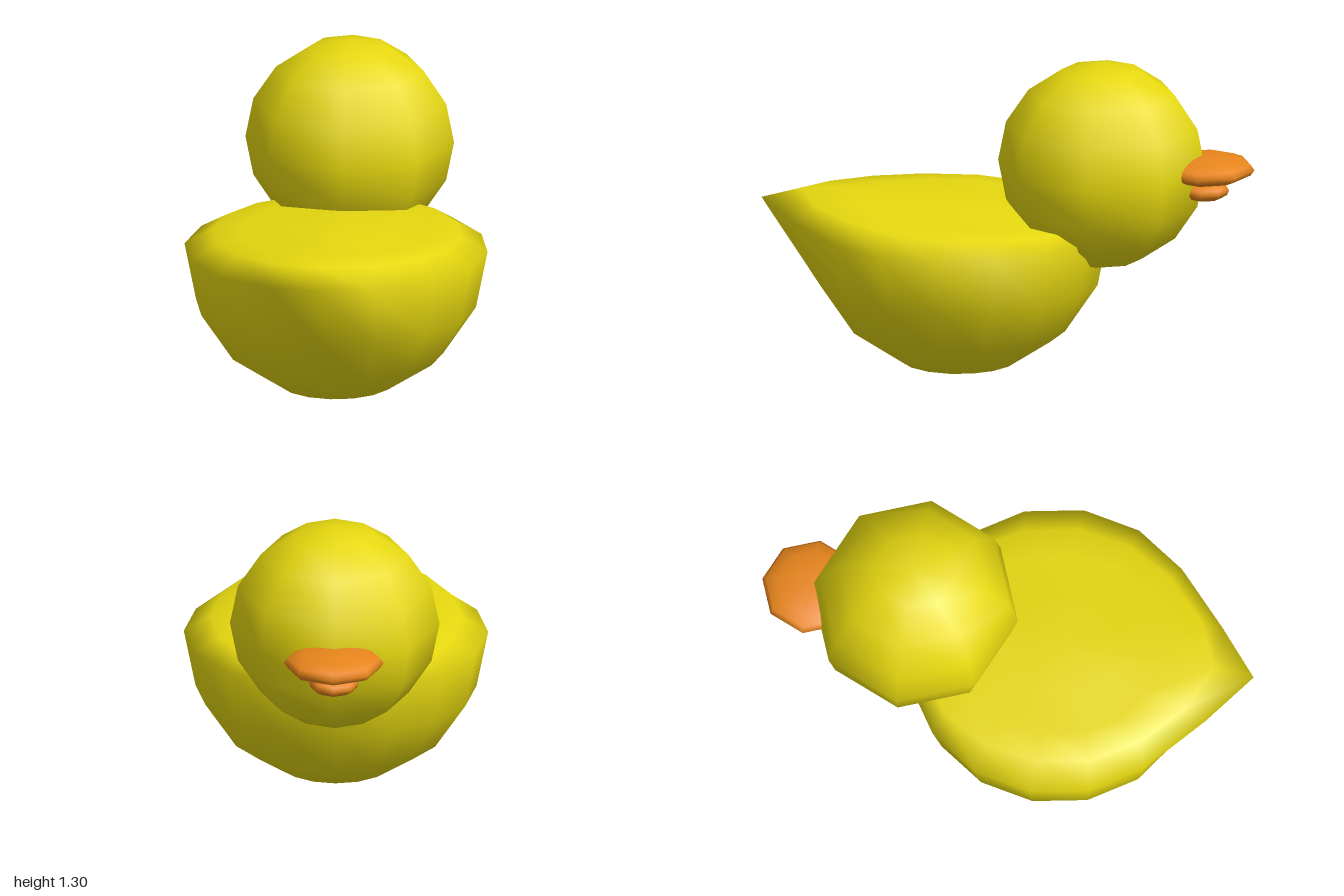
import * as THREE from 'three';
import { mergeVertices } from 'three/addons/utils/BufferGeometryUtils.js';

const yellow = new THREE.MeshStandardMaterial({ color: 0xe6d80f });
const orange = new THREE.MeshStandardMaterial({ color: 0xe8851c });

function ball(name, material, radius, position, scale = [1, 1, 1]) {
  const mesh = new THREE.Mesh(new THREE.SphereGeometry(radius, 8, 8), material);
  mesh.name = name;
  mesh.position.set(...position);
  mesh.scale.set(...scale);
  return mesh;
}

// Round hull below, flattened back above, drawn out to a pointed tail at +z
function bodyGeometry() {
  const R = 0.61;
  const geo = new THREE.SphereGeometry(R, 16, 8);
  geo.deleteAttribute('uv');
  geo.deleteAttribute('normal');
  const p = geo.attributes.position;
  const v = new THREE.Vector3();
  for (let i = 0; i < p.count; i++) {
    v.fromBufferAttribute(p, i);
    const r = Math.hypot(v.x, v.z);
    const angle = r > 0.01 ? Math.abs(Math.atan2(v.x, v.z)) : Math.PI;
    const onTail = angle < 0.1, besideTail = !onTail && angle < 0.5;
    const rim = Math.abs(v.y) < 0.01;
    if (v.y > 0.01) {
      // flattened back, sloping gently to the sides and the breast
      v.x *= 0.89;
      v.y = 0.11 - 0.09 * Math.abs(v.x) - 0.11 * Math.max(0, -v.z) * (1 - Math.abs(v.x));
      if (v.z > 0) v.y += 0.015 * v.z;
      if (r > 0.5 && onTail) v.set(0, 0.12, 0.64);
      if (r > 0.5 && besideTail) v.z += 0.03;
    } else if (rim && onTail) {
      v.set(0, 0.075, 0.8);
    } else if (rim && besideTail) {
      v.set(Math.sign(v.x) * 0.2, 0.03, 0.64);
    }
    p.setXYZ(i, v.x, v.y, v.z);
  }
  const welded = mergeVertices(geo, 1e-4);
  welded.computeVertexNormals();
  return welded;
}

export function createModel() {
  const duck = new THREE.Group();
  duck.name = 'duck';

  const body = new THREE.Mesh(bodyGeometry(), yellow);
  body.name = 'body';
  body.position.set(0, 0.61, 0.2);

  duck.add(
    body,
    ball('head', yellow, 0.42, [0, 0.88, -0.38]),
    ball('upperBeak', orange, 0.2, [0, 0.88, -0.8], [1, 0.28, 1]),
    ball('lowerBeak', orange, 0.1, [0, 0.79, -0.797], [1, 0.42, 1])
  );
  return duck;
}
